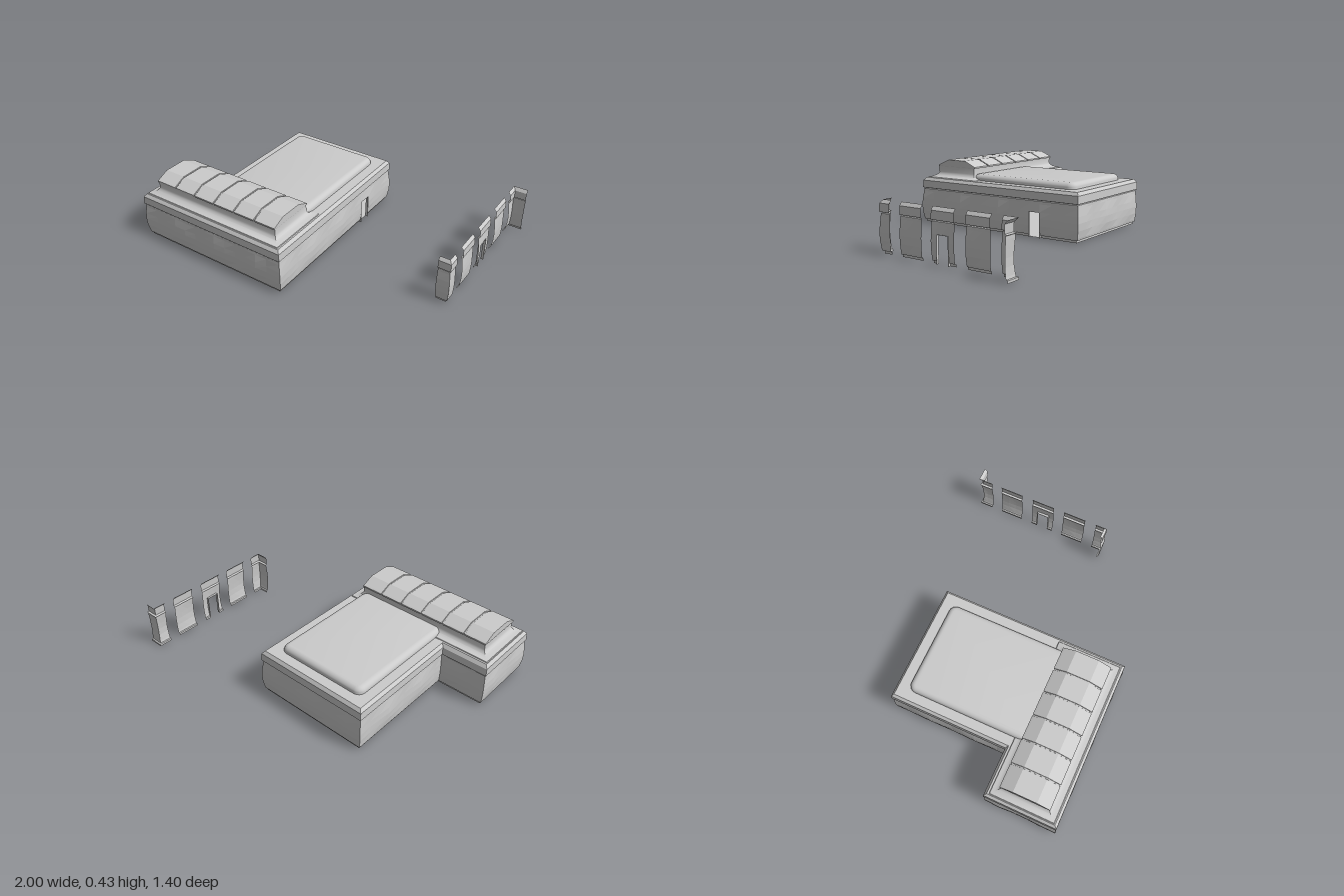
import * as THREE from 'three';
import { toCreasedNormals } from 'three/addons/utils/BufferGeometryUtils.js';

const flat = new THREE.MeshStandardMaterial({ color: 0xcccccc, flatShading: true, side: THREE.DoubleSide });
const smooth = new THREE.MeshStandardMaterial({ color: 0xcccccc, side: THREE.DoubleSide });

// Wall section: [outward offset, height]; rows between 0.02 and 0.23 bow gently
const WALL = [[0, 0], [0, 0.014], [0.009, 0.016], [0.012, 0.03], [0.017, 0.075], [0.018, 0.12], [0.016, 0.16],
  [0.012, 0.21], [0.011, 0.228], [0.004, 0.232], [0.018, 0.236], [0.016, 0.285], [0.009, 0.294], [0, 0.305]];
const DOOR_TOP = 0.16;
const DOOR_Z = [-0.185, -0.265];

function add(group, name, geometry, material = flat) {
  const mesh = new THREE.Mesh(geometry, material);
  mesh.name = name;
  group.add(mesh);
  return mesh;
}

// Splits a path of [x, z, door] corners into stations with mitred outward normals
function stations(path, closed, step) {
  const n = path.length, out = [];
  const normal = (i) => {
    const a = path[(i + n) % n], b = path[(i + 1 + n) % n];
    return new THREE.Vector2(a[1] - b[1], b[0] - a[0]).normalize();
  };
  let run = 0;
  for (let i = 0; i < n; i++) {
    const last = !closed && i === n - 1;
    const next = last ? normal(i - 1) : normal(i);
    const prev = !closed && i === 0 ? next : normal(i - 1);
    const mitre = prev.clone().add(next).divideScalar(1 + prev.dot(next));
    const a = path[i], b = path[(i + 1) % n];
    const length = last ? 0 : Math.hypot(b[0] - a[0], b[1] - a[1]);
    const count = last ? 1 : Math.max(1, Math.round(length / step));
    for (let k = 0; k < count; k++) {
      const t = k / count;
      out.push({ x: a[0] + (b[0] - a[0]) * t, z: a[1] + (b[1] - a[1]) * t,
        n: k ? next : mitre, s: run + length * t, door: !!a[2], skip: !!a[3] });
    }
    run += length;
  }
  return out;
}

// Sweeps a section along a path, leaving out doorways and gaps
function sweep(path, section, { closed = true, step = 10, wave = 0 } = {}) {
  const st = stations(path, closed, step), rows = section.length;
  const pos = [], idx = [];
  for (const p of st) {
    for (const [d, y] of section) {
      const bow = y > 0.02 && y < 0.23 ? Math.sin((y - 0.016) / 0.212 * Math.PI) : 0;
      const o = d + wave * bow * Math.cos(p.s / 0.308 * 2 * Math.PI);
      pos.push(p.x + p.n.x * o, y, p.z + p.n.y * o);
    }
  }
  const spans = closed ? st.length : st.length - 1;
  for (let i = 0; i < spans; i++) {
    if (st[i].skip) continue;
    const i2 = (i + 1) % st.length;
    for (let j = 0; j < rows - 1; j++) {
      if (st[i].door && section[j + 1][1] <= DOOR_TOP) continue;
      const a = i * rows + j, b = i2 * rows + j;
      idx.push(a, b, b + 1, a, b + 1, a + 1);
    }
  }
  const g = new THREE.BufferGeometry();
  g.setAttribute('position', new THREE.Float32BufferAttribute(pos, 3));
  g.setIndex(idx);
  g.computeVertexNormals();
  return g;
}

const rect = (x0, x1, z0, z1) => [[x1, z1], [x1, z0], [x0, z0], [x0, z1]];

// Level sheet filling an outline
function sheet(path, y, up) {
  const g = new THREE.ShapeGeometry(new THREE.Shape(path.map(([x, z]) => new THREE.Vector2(x, up ? -z : z))));
  return g.rotateX(up ? -Math.PI / 2 : Math.PI / 2).translate(0, y, 0);
}

// Thin lining around a doorway in a wall that faces +x
function doorLining(group, x) {
  for (const z of DOOR_Z) {
    add(group, 'doorJamb', new THREE.BoxGeometry(0.016, DOOR_TOP, 0.003)).position.set(x + 0.009, DOOR_TOP / 2, z);
  }
  add(group, 'doorLintel', new THREE.BoxGeometry(0.016, 0.003, 0.08)).position.set(x + 0.009, DOOR_TOP, -0.225);
}

export function createModel() {
  const model = new THREE.Group();

  // L-shaped building
  const building = new THREE.Group();
  building.name = 'building';
  model.add(building);
  const plan = [[0.065, 0.675], [0.065, DOOR_Z[0], true], [0.065, DOOR_Z[1]], [0.065, -0.52],
    [-0.67, -0.52], [-0.67, 0.245], [-0.975, 0.245], [-0.975, 0.675]];
  add(building, 'outerWalls', sweep(plan, WALL, { step: 0.08, wave: 0.005 }));
  add(building, 'floor', sheet(plan, 0, false));
  add(building, 'roofDeck', sheet(plan, 0.305, true));
  doorLining(building, 0.065);

  // Cushion-shaped raised roof
  const r = 0.035, pad = new THREE.Shape();
  const x0 = -0.61 + r, x1 = -r, y0 = -0.33 + r, y1 = 0.455 - r, c = 0.015;
  pad.moveTo(x0 + c, y0).lineTo(x1 - c, y0).quadraticCurveTo(x1, y0, x1, y0 + c)
    .lineTo(x1, y1 - c).quadraticCurveTo(x1, y1, x1 - c, y1)
    .lineTo(x0 + c, y1).quadraticCurveTo(x0, y1, x0, y1 - c)
    .lineTo(x0, y0 + c).quadraticCurveTo(x0, y0, x0 + c, y0);
  const padGeo = new THREE.ExtrudeGeometry(pad, { depth: 0.005, bevelThickness: r, bevelSize: r, bevelSegments: 6, curveSegments: 4 });
  padGeo.rotateX(-Math.PI / 2).translate(0, 0.305, 0);
  add(building, 'raisedRoof', toCreasedNormals(padGeo, 0.6), smooth);

  // Skylight with a flared base
  const skylight = new THREE.Group();
  skylight.name = 'skylight';
  building.add(skylight);
  const flare = [[0.055, 0.305], [0.052, 0.309], [0.032, 0.314], [0.016, 0.321], [0.005, 0.331], [0, 0.343], [0, 0.386]];
  const base = rect(-0.915, 0, 0.312, 0.613);
  add(skylight, 'skylightBase', toCreasedNormals(sweep(base, flare), 0.6), smooth);
  add(skylight, 'skylightSill', sheet(base, 0.386, true));

  // Faceted hood: a recessed core and six bays
  const hood = (inset, length, bevel) => {
    const w = 0.157 - inset, t = 0.074, top = 0.427 - inset;
    const s = new THREE.Shape([[-w, 0.38], [w, 0.38], [w, 0.39], [w - 0.012, 0.396 - inset], [t, top],
      [-t, top], [-w + 0.012, 0.396 - inset], [-w, 0.39]].map(([u, y]) => new THREE.Vector2(u, y)));
    const g = new THREE.ExtrudeGeometry(s, { depth: length - 2 * bevel, bevelEnabled: bevel > 0,
      bevelThickness: bevel, bevelSize: bevel, bevelOffset: -bevel, bevelSegments: 2 });
    return g.translate(0, 0, bevel).rotateY(Math.PI / 2);
  };
  add(skylight, 'hoodCore', hood(0.006, 0.92, 0)).position.set(-0.92, 0, 0.461);
  for (let i = 0; i < 6; i++) {
    add(skylight, 'hoodBay', hood(0, 0.147, 0.003)).position.set(-0.921 + i * 0.155, 0, 0.461);
  }

  // Separate wall pieces: outer corner, plain panel, door panel, plain panel, inner corner
  const pieces = new THREE.Group();
  pieces.name = 'wallPieces';
  model.add(pieces);
  const X = 0.907;
  const straight = (a, b) => [[X, a], [X, b]];
  const list = {
    outerCorner: [[0.843, 0.216], [X, 0.216], [X, 0.155]],
    frontPanel: straight(0.077, -0.077),
    doorPanel: [[X, -0.15], [X, DOOR_Z[0], true], [X, DOOR_Z[1]], [X, -0.305]],
    rearPanel: straight(-0.384, -0.538),
    innerCorner: [[X, -0.61], [X, -0.7], [1, -0.7]],
  };
  for (const [name, path] of Object.entries(list)) {
    add(pieces, name, sweep(path, WALL, { closed: false, step: 0.05, wave: 0.003 }));
  }
  doorLining(pieces, X);
  return model;
}
